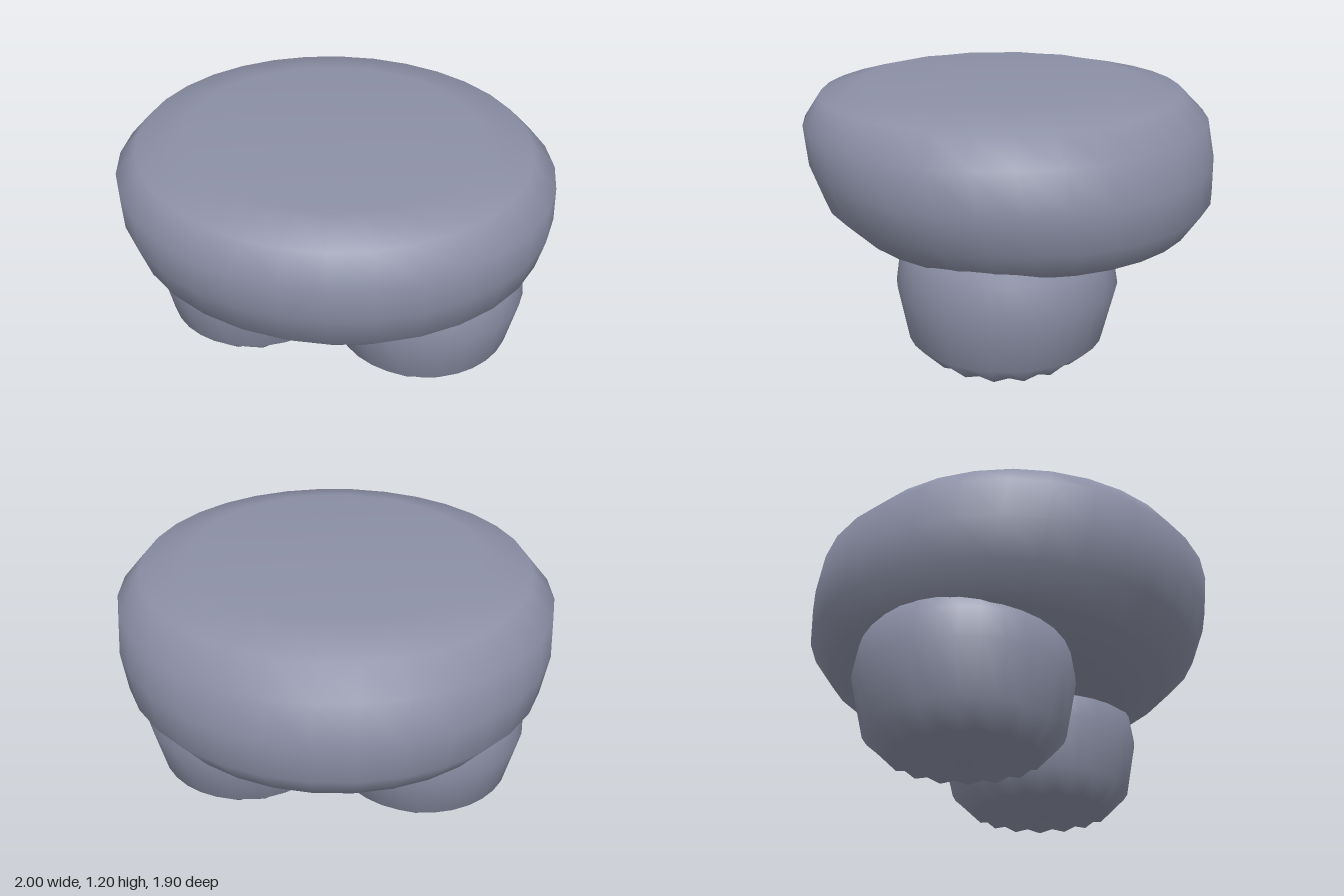
import * as THREE from 'three';
import { mergeVertices } from 'three/addons/utils/BufferGeometryUtils.js';

const SEGMENTS = 32;

// Smooth stack of ellipses; each ring is [radius, y, zCentre, ripple].
// Ripple lifts every other point of a ring to give a fluted edge.
function ringStack(rings, xScale) {
  const points = rings.map(([r, y]) => new THREE.Vector2(r, y));
  let geo = new THREE.LatheGeometry(points, SEGMENTS);
  const pos = geo.attributes.position;
  for (let i = 0; i < pos.count; i++) {
    const [, , zc, ripple = 0] = rings[i % rings.length];
    const spoke = Math.floor(i / rings.length);
    pos.setX(i, pos.getX(i) * xScale);
    pos.setY(i, pos.getY(i) + (spoke % 2 ? ripple : 0));
    pos.setZ(i, pos.getZ(i) + zc);
  }
  geo.deleteAttribute('uv');
  geo.deleteAttribute('normal');
  geo = mergeVertices(geo, 1e-4);
  geo.computeVertexNormals();
  return geo;
}

export function createModel() {
  const group = new THREE.Group();
  const slate = new THREE.MeshStandardMaterial({ color: 0x8c90a6 });
  slate.name = 'slate';

  // Broad flat-topped body, leaning forward towards the top
  const body = new THREE.Mesh(ringStack([
    [0, 0.475, -0.08],
    [0.595, 0.48, -0.075],
    [0.795, 0.54, -0.065],
    [0.907, 0.67, -0.04],
    [0.938, 0.84, -0.007],
    [0.93, 1.02, 0.02],
    [0.83, 1.14, 0.04],
    [0.625, 1.19, 0.055, -0.004],
    [0, 1.2, 0.06],
  ], 1.066), slate);
  body.name = 'body';
  group.add(body);

  // Two stubby feet that meet in the middle
  const footGeo = ringStack([
    [0, 0, -0.03],
    [0.33, 0.02, -0.03, 0.02],
    [0.437, 0.125, -0.035],
    [0.49, 0.37, -0.042],
    [0.468, 0.51, -0.04],
    [0.42, 0.63, -0.04],
    [0, 0.68, -0.04],
  ], 0.985);
  for (const [name, side] of [['leftFoot', 1], ['rightFoot', -1]]) {
    const foot = new THREE.Mesh(footGeo, slate);
    foot.name = name;
    foot.position.x = side * 0.432;
    group.add(foot);
  }

  return group;
}
